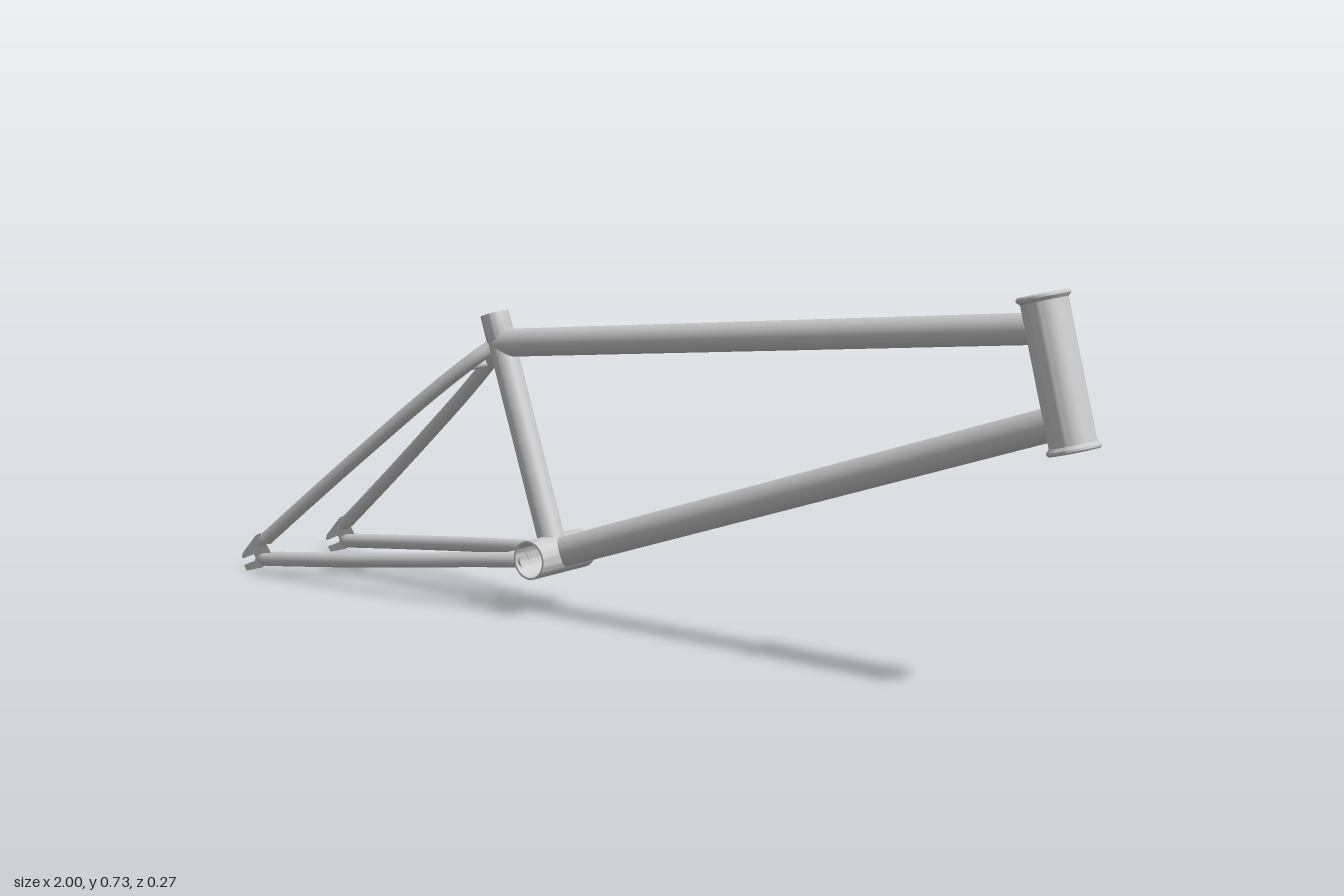
import * as THREE from 'three';
import { toCreasedNormals } from 'three/addons/utils/BufferGeometryUtils.js';

const V = (x, y, z = 0) => new THREE.Vector3(x, y, z);
const UP = V(0, 1, 0);
const material = new THREE.MeshStandardMaterial({ color: 0xcccccc, side: THREE.DoubleSide });

export function createModel() {
  const model = new THREE.Group();
  const add = (name, geometry) => {
    const mesh = new THREE.Mesh(geometry, material);
    mesh.name = name;
    model.add(mesh);
    return mesh;
  };

  // Turn and move a y-aligned geometry so that it runs along a to b
  const align = (geometry, a, b, at) => {
    const d = b.clone().sub(a).normalize();
    return geometry
      .applyQuaternion(new THREE.Quaternion().setFromUnitVectors(UP, d))
      .translate(at.x, at.y, at.z);
  };

  // Hollow turned part: profile of [radius, height] pairs, height measured from a towards b
  const turned = (name, a, b, profile) => {
    const points = [...profile, profile[0]].map(([r, h]) => new THREE.Vector2(r, h));
    const geometry = toCreasedNormals(new THREE.LatheGeometry(points, 40), 0.6);
    return add(name, align(geometry, a, b, a));
  };

  // Straight tube whose ends are coped to fit round another tube {c: point, u: axis, r: radius}
  const coped = (name, a, b, r, jointA, jointB) => {
    const geometry = new THREE.CylinderGeometry(r, r, a.distanceTo(b), 32, 1, true);
    align(geometry, a, b, a.clone().add(b).multiplyScalar(0.5));
    const d = b.clone().sub(a).normalize();
    const pos = geometry.attributes.position;
    const p = V(0, 0);
    for (let i = 0; i < pos.count; i++) {
      p.fromBufferAttribute(pos, i);
      const atA = p.distanceTo(a) < p.distanceTo(b);
      const joint = atA ? jointA : jointB;
      if (!joint) continue;
      const q = p.clone().sub(joint.c).projectOnPlane(joint.u);
      const e = d.clone().projectOnPlane(joint.u);
      const A = e.dot(e), B = q.dot(e), C = q.dot(q) - joint.r ** 2;
      const root = Math.sqrt(Math.max(0, B * B - A * C));
      p.addScaledVector(d, (-B + (atA ? root : -root)) / A);
      pos.setXYZ(i, p.x, p.y, p.z);
    }
    return add(name, geometry);
  };

  // Key points of the frame
  const headTop = V(0.88, 0.72), headBottom = V(0.95, 0.452);
  const crank = V(-0.225, 0.117), seatTop = V(-0.382, 0.588);
  const headAxis = headTop.clone().sub(headBottom).normalize();
  const seatAxis = seatTop.clone().sub(crank).normalize();
  const headJoint = { c: headTop, u: headAxis, r: 0.0395 };
  const seatJoint = { c: seatTop, u: seatAxis, r: 0.026 };
  const crankJoint = { c: crank, u: V(0, 0, 1), r: 0.037 };

  // Head tube with a lip at each end
  const H = headTop.distanceTo(headBottom);
  turned('headTube', headBottom, headTop, [
    [0.037, 0], [0.045, 0], [0.048, 0.003], [0.048, 0.007], [0.042, 0.013],
    [0.042, H - 0.013], [0.048, H - 0.007], [0.048, H - 0.003], [0.045, H], [0.037, H],
  ]);

  // Bottom bracket shell
  turned('bottomBracketShell', V(-0.225, 0.117, -0.08), V(-0.225, 0.117, 0.08), [
    [0.035, 0], [0.039, 0], [0.039, 0.16], [0.035, 0.16],
  ]);

  // Main triangle
  coped('topTube', V(-0.363, 0.53), V(0.8955, 0.661), 0.028, seatJoint, headJoint);
  coped('downTube', crank, V(0.936, 0.507), 0.03, crankJoint, headJoint);
  const collarBase = seatTop.clone().addScaledVector(seatAxis, -0.055);
  coped('seatTube', crank, collarBase, 0.027, crankJoint, null);
  turned('seatCollar', collarBase, seatTop, [
    [0.024, 0], [0.027, 0], [0.029, 0.003], [0.029, 0.055], [0.024, 0.055],
  ]);

  // Dropout plate outline with an open axle slot
  const plate = new THREE.Shape();
  [[-0.994, 0.011], [-0.986, 0], [-0.95, 0.01], [-0.912, 0.03], [-0.91, 0.05], [-0.94, 0.088],
    [-0.955, 0.081], [-0.998, 0.036], [-1, 0.025], [-0.969, 0.038]]
    .forEach(([x, y], i) => (i ? plate.lineTo(x, y) : plate.moveTo(x, y)));
  plate.absarc(-0.966, 0.031, 0.008, 1.97, -1.17, true);
  plate.closePath();

  // Curved stay closed by a tapered tip at its rear end
  const stay = (name, points, r) => {
    const curve = new THREE.CatmullRomCurve3(points);
    add(name, new THREE.TubeGeometry(curve, 48, r, 20));
    const end = points[points.length - 1];
    const tip = new THREE.SphereGeometry(r, 20, 12).scale(1, 0.03 / r, 1);
    add(name + 'Tip', align(tip, V(0, 0), curve.getTangent(1), end));
  };

  // Rear triangle, mirrored left and right
  for (const [side, s] of [['left', 1], ['right', -1]]) {
    stay(side + 'SeatStay', [
      V(-0.382, 0.522, 0.008 * s), V(-0.407, 0.5, 0.027 * s), V(-0.494, 0.43, 0.056 * s),
      V(-0.683, 0.277, 0.09 * s), V(-0.82, 0.166, 0.109 * s), V(-0.93, 0.077, 0.121 * s),
    ], 0.0145);
    stay(side + 'ChainStay', [
      V(-0.256, 0.11, 0.058 * s), V(-0.36, 0.1, 0.075 * s), V(-0.52, 0.081, 0.098 * s),
      V(-0.72, 0.057, 0.115 * s), V(-0.925, 0.033, 0.122 * s),
    ], 0.0155);
    const geometry = new THREE.ExtrudeGeometry(plate, { depth: 0.009, bevelEnabled: false, curveSegments: 10 });
    add(side + 'Dropout', geometry.translate(0, 0, 0.125 * s - 0.0045));
  }

  // Bridges between the stays
  coped('seatStayBridge', V(-0.432, 0.48, -0.037), V(-0.432, 0.48, 0.037), 0.009);
  coped('chainStayBridge', V(-0.326, 0.103, -0.07), V(-0.326, 0.103, 0.07), 0.009);

  return model;
}
